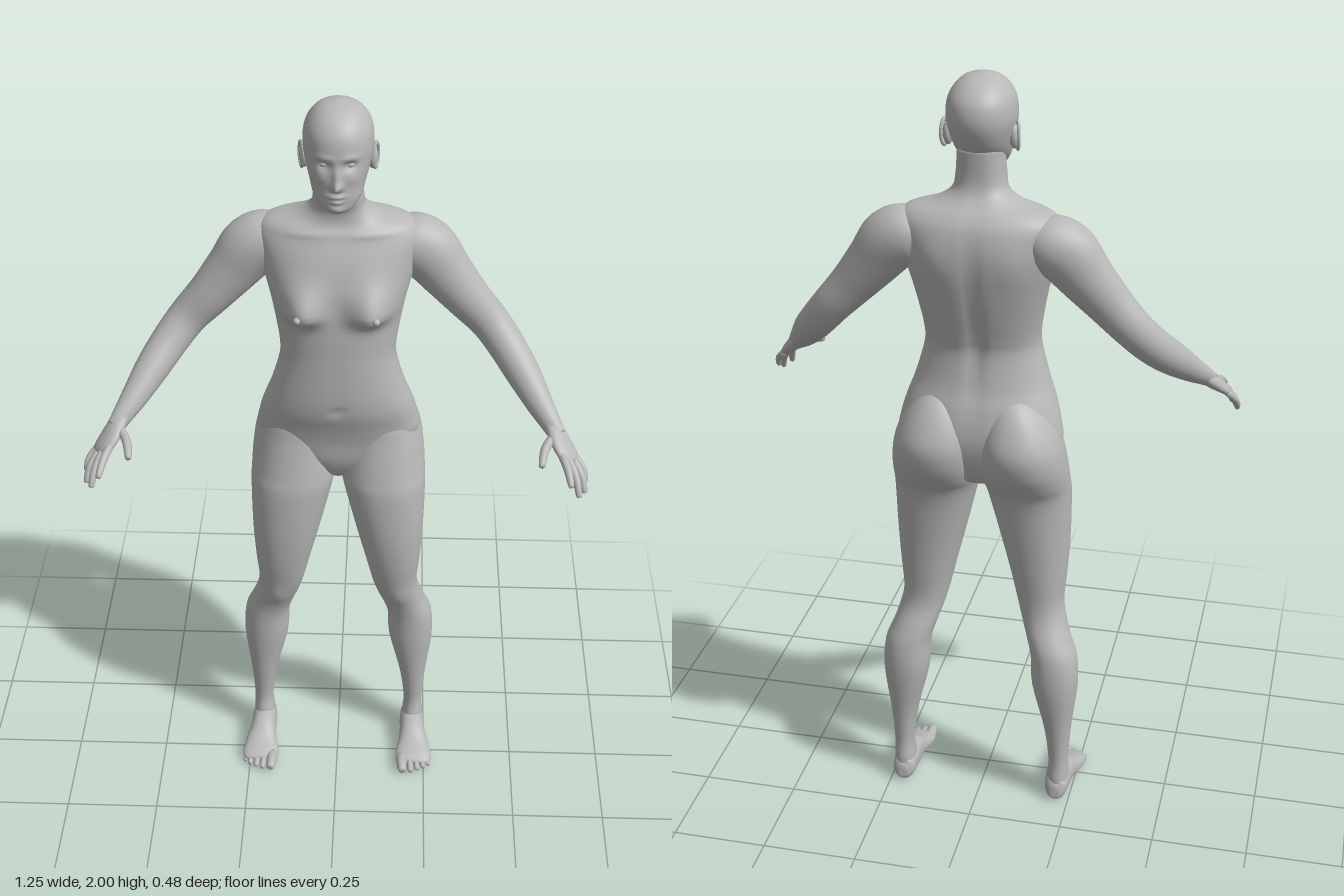
import * as THREE from 'three';

const V3 = (x, y, z) => new THREE.Vector3(x, y, z);

// Catmull-Rom blend of rows of numbers, t from 0 to rows.length - 1
function sample(rows, t) {
  const i = Math.min(Math.floor(t), rows.length - 2), f = t - i;
  const r = k => rows[Math.max(0, Math.min(rows.length - 1, k))];
  return rows[i].map((b, k) => {
    const a = r(i - 1)[k], c = r(i + 1)[k], d = r(i + 2)[k];
    return b + 0.5 * f * (c - a + f * (2 * a - 5 * b + 4 * c - d + f * (3 * (b - c) + d - a)));
  });
}

// Skin over elliptical rings. Rows are [x, y, z, a, b]; a lies along ref.
// flat keeps rings horizontal, power < 1 makes them boxier.
// bumps are [dir, x, y, width, up, down, height], applied to both sides.
function loft(rows, { ref = V3(1, 0, 0), flat = false, sides = 24, steps = 4, power = 1, bumps = [] } = {}) {
  const pos = [], index = [], n = (rows.length - 1) * steps;
  const at = t => V3(...sample(rows, t).slice(0, 3));
  const pow = v => Math.sign(v) * Math.abs(v) ** power;
  for (let i = 0; i <= n; i++) {
    const t = i / steps, s = sample(rows, t), c = at(t);
    const T = flat ? V3(0, 1, 0)
      : at(Math.min(t + 0.1, rows.length - 1)).sub(at(Math.max(t - 0.1, 0))).normalize();
    const U = ref.clone().addScaledVector(T, -ref.dot(T)).normalize();
    const W = T.clone().cross(U);
    const a = Math.max(s[3], 0.001), b = Math.max(s[4], 0.001);
    for (let j = 0; j < sides; j++) {
      const q = j / sides * Math.PI * 2;
      const p = c.clone().addScaledVector(U, a * pow(Math.cos(q))).addScaledVector(W, b * pow(Math.sin(q)));
      const facing = (p.z - c.z) / b;
      let dz = 0;
      for (const [dir, x, y, w, up, down, h] of bumps) {
        const u = (Math.abs(p.x) - x) / w, v = (p.y - y) / (p.y > y ? up : down);
        dz += dir * h * Math.exp(-u * u - v * v) * Math.sqrt(Math.max(0, dir * facing));
      }
      pos.push(p.x, p.y, p.z + dz);
      if (i < n) {
        const k = i * sides + j, m = i * sides + (j + 1) % sides;
        index.push(k, m, m + sides, k, m + sides, k + sides);
      }
    }
  }
  // end caps
  for (const [t, first] of [[0, 0], [rows.length - 1, n * sides]]) {
    const c = at(t), k = pos.length / 3;
    pos.push(c.x, c.y, c.z);
    for (let j = 0; j < sides; j++) {
      const p = first + j, q = first + (j + 1) % sides;
      if (t === 0) index.push(k, q, p); else index.push(k, p, q);
    }
  }
  const g = new THREE.BufferGeometry();
  g.setAttribute('position', new THREE.Float32BufferAttribute(pos, 3));
  g.setIndex(index);
  g.computeVertexNormals();
  return g;
}

// Rows [y, inner x, outer x, front z, back z] to horizontal rings
const level = rows => rows.map(([y, xi, xo, zf, zb]) =>
  [(xi + xo) / 2, y, (zf + zb) / 2, (xo - xi) / 2, (zf - zb) / 2]);
// Rows [y, half width, front z, back z], centred on x = 0
const centred = rows => level(rows.map(([y, w, zf, zb]) => [y, -w, w, zf, zb]));

// Rounded finger or toe through the given points
function digit(points, r, ref) {
  const k = points.length - 1, [p, q] = [points[k - 1], points[k]];
  const near = q.map((v, i) => p[i] + (v - p[i]) * 0.88);
  const rows = points.slice(0, k).map(v => [...v, r, r]);
  rows.push([...near, r * 0.75, r * 0.75], [...q, r * 0.15, r * 0.15]);
  return loft(rows, { ref, sides: 12, steps: 3 });
}

function mirrored(g) {
  const m = g.clone().applyMatrix4(new THREE.Matrix4().makeScale(-1, 1, 1));
  const a = m.index.array;
  for (let i = 0; i < a.length; i += 3) [a[i], a[i + 1]] = [a[i + 1], a[i]];
  return m;
}

export function createModel() {
  const model = new THREE.Group();
  model.name = 'figure';
  const clay = new THREE.MeshStandardMaterial({ color: 0xb8b8b8 });
  clay.name = 'grey clay';
  const add = (name, g) => {
    const m = new THREE.Mesh(g, clay);
    m.name = name;
    model.add(m);
  };
  const pair = (name, g) => { add('left' + name, g); add('right' + name, mirrored(g)); };
  const ball = (x, y, z, a, b, c) => new THREE.SphereGeometry(1, 20, 14).scale(a, b, c).translate(x, y, z);

  // Torso and neck, with breasts, collar bones, spine groove and shoulder blades
  add('torso', loft(centred([
    [0.945, 0.02, -0.05, -0.1], [0.97, 0.07, -0.025, -0.16], [1.02, 0.16, -0.005, -0.185],
    [1.08, 0.208, 0.003, -0.2], [1.13, 0.204, 0.015, -0.2], [1.18, 0.19, 0.03, -0.19],
    [1.235, 0.17, 0.036, -0.173], [1.315, 0.148, 0.036, -0.162], [1.36, 0.146, 0.035, -0.17],
    [1.42, 0.155, 0.034, -0.188], [1.48, 0.167, 0.028, -0.204], [1.54, 0.182, 0.024, -0.215],
    [1.6, 0.195, 0.008, -0.217], [1.65, 0.2, -0.014, -0.207], [1.68, 0.175, -0.03, -0.188],
    [1.7, 0.108, -0.037, -0.168], [1.725, 0.07, -0.036, -0.15], [1.76, 0.061, -0.026, -0.143],
    [1.83, 0.056, -0.03, -0.145],
  ]), {
    flat: true, sides: 72, steps: 5, power: 0.88,
    bumps: [[1, 0.09, 1.482, 0.052, 0.065, 0.03, 0.05], [1, 0.08, 1.672, 0.07, 0.009, 0.009, 0.006],
      [-1, 0, 1.4, 0.018, 0.22, 0.2, -0.012], [-1, 0.1, 1.57, 0.045, 0.06, 0.06, 0.007],
      [1, 0, 1.2, 0.008, 0.01, 0.01, -0.008]],
  }));
  pair('Nipple', ball(0.096, 1.482, 0.058, 0.009, 0.009, 0.009));

  // Head with sculpted brow, nose, lips and chin
  add('head', loft(centred([
    [1.752, 0.018, 0.018, -0.02], [1.765, 0.04, 0.03, -0.05], [1.79, 0.058, 0.034, -0.09],
    [1.82, 0.068, 0.034, -0.14], [1.86, 0.078, 0.034, -0.168], [1.9, 0.084, 0.032, -0.18],
    [1.94, 0.08, 0.024, -0.174], [1.97, 0.064, 0.003, -0.15], [1.99, 0.04, -0.028, -0.118],
    [2.0, 0.006, -0.068, -0.08],
  ]), {
    flat: true, sides: 96, steps: 8, power: 0.94,
    bumps: [[1, 0, 1.828, 0.011, 0.014, 0.008, 0.02], [1, 0, 1.852, 0.008, 0.022, 0.02, 0.009],
      [1, 0.03, 1.878, 0.016, 0.011, 0.012, -0.012], [1, 0.03, 1.898, 0.02, 0.007, 0.007, 0.004],
      [1, 0, 1.804, 0.018, 0.005, 0.005, 0.008], [1, 0, 1.79, 0.014, 0.005, 0.004, 0.008],
      [1, 0, 1.77, 0.018, 0.01, 0.01, 0.007], [1, 0.042, 1.845, 0.016, 0.014, 0.016, 0.004]],
  }));
  pair('Eye', ball(0.03, 1.878, 0.009, 0.013, 0.009, 0.011));
  pair('Ear', ball(0.08, 1.853, -0.085, 0.013, 0.03, 0.018));
  pair('EarRim', new THREE.TorusGeometry(0.019, 0.004, 8, 24).scale(0.9, 1.6, 1)
    .rotateY(Math.PI / 2 - 0.35).translate(0.088, 1.855, -0.087));

  // Legs, including the buttocks
  pair('Leg', loft(level([
    [0.02, 0.188, 0.243, -0.078, -0.138], [0.07, 0.187, 0.245, -0.058, -0.141],
    [0.125, 0.19, 0.243, -0.068, -0.138], [0.23, 0.176, 0.25, -0.058, -0.15],
    [0.363, 0.144, 0.265, -0.045, -0.17], [0.45, 0.138, 0.26, -0.04, -0.168],
    [0.5, 0.125, 0.241, -0.032, -0.155], [0.55, 0.108, 0.225, -0.017, -0.136],
    [0.6, 0.094, 0.216, 0, -0.13], [0.68, 0.075, 0.222, 0.018, -0.138],
    [0.787, 0.048, 0.228, 0.03, -0.15], [0.92, 0.015, 0.23, 0.03, -0.17],
    [0.97, 0.004, 0.228, 0.022, -0.2], [1.02, 0.001, 0.224, 0.012, -0.227],
    [1.08, 0.003, 0.214, 0, -0.238], [1.14, 0.016, 0.19, -0.01, -0.218],
    [1.19, 0.045, 0.15, -0.05, -0.185], [1.22, 0.08, 0.11, -0.09, -0.14],
  ]), { flat: true, sides: 40, power: 0.93, bumps: [[1, 0.165, 0.555, 0.03, 0.035, 0.03, 0.007]] }));

  // Feet and toes
  pair('Foot', loft([
    [0.215, 0.034, -0.146, 0.012, 0.018], [0.215, 0.034, -0.132, 0.028, 0.033],
    [0.215, 0.042, -0.09, 0.034, 0.042], [0.217, 0.038, -0.04, 0.036, 0.038],
    [0.22, 0.027, 0, 0.044, 0.027], [0.22, 0.019, 0.04, 0.051, 0.019],
    [0.221, 0.015, 0.062, 0.046, 0.013], [0.221, 0.014, 0.07, 0.03, 0.007],
  ], { sides: 32, power: 0.9 }));
  [[0.187, 0.19, 0.105, 0.0145], [0.211, 0.213, 0.1, 0.0095], [0.229, 0.232, 0.092, 0.009],
    [0.245, 0.25, 0.083, 0.0085], [0.258, 0.264, 0.071, 0.008]].forEach(([x, tx, z, r], i) =>
    pair('Toe' + (i + 1), digit([[x, 0.018, z - 0.06], [x, r + 0.005, z - 0.03], [tx, r, z]], r)));

  // Arms from deltoid to wrist
  pair('Arm', loft([
    [0.12, 1.62, -0.125, 0.03, 0.045], [0.16, 1.615, -0.125, 0.066, 0.068],
    [0.212, 1.59, -0.122, 0.078, 0.07], [0.262, 1.53, -0.116, 0.068, 0.06],
    [0.32, 1.462, -0.107, 0.057, 0.052], [0.377, 1.4, -0.099, 0.05, 0.047],
    [0.422, 1.347, -0.068, 0.047, 0.046], [0.465, 1.296, -0.016, 0.043, 0.042],
    [0.505, 1.247, 0.042, 0.034, 0.032], [0.534, 1.214, 0.083, 0.026, 0.023],
    [0.55, 1.195, 0.105, 0.022, 0.016],
  ], { ref: V3(0.72, 0.65, 0), sides: 32 }));

  // Hands
  const across = V3(0.038, -0.02, -0.035);
  pair('Palm', loft([
    [0.532, 1.216, 0.08, 0.02, 0.014], [0.545, 1.2, 0.1, 0.029, 0.019],
    [0.562, 1.179, 0.126, 0.036, 0.017], [0.578, 1.16, 0.148, 0.035, 0.013],
    [0.584, 1.152, 0.157, 0.026, 0.008],
  ], { ref: across, sides: 24 }));
  const fingers = {
    Index: [[0.555, 1.176, 0.152], [0.57, 1.158, 0.195], [0.58, 1.13, 0.235]],
    Middle: [[0.57, 1.166, 0.148], [0.592, 1.132, 0.188], [0.603, 1.088, 0.218]],
    Ring: [[0.583, 1.158, 0.139], [0.608, 1.122, 0.168], [0.619, 1.082, 0.19]],
    Little: [[0.593, 1.152, 0.126], [0.615, 1.126, 0.145], [0.622, 1.098, 0.161]],
    Thumb: [[0.54, 1.198, 0.11], [0.516, 1.188, 0.155], [0.506, 1.168, 0.205]],
  };
  for (const [name, points] of Object.entries(fingers))
    pair(name + 'Finger', digit(points, name === 'Thumb' ? 0.0115 : name === 'Little' ? 0.0085 : 0.01, across));

  return model;
}
